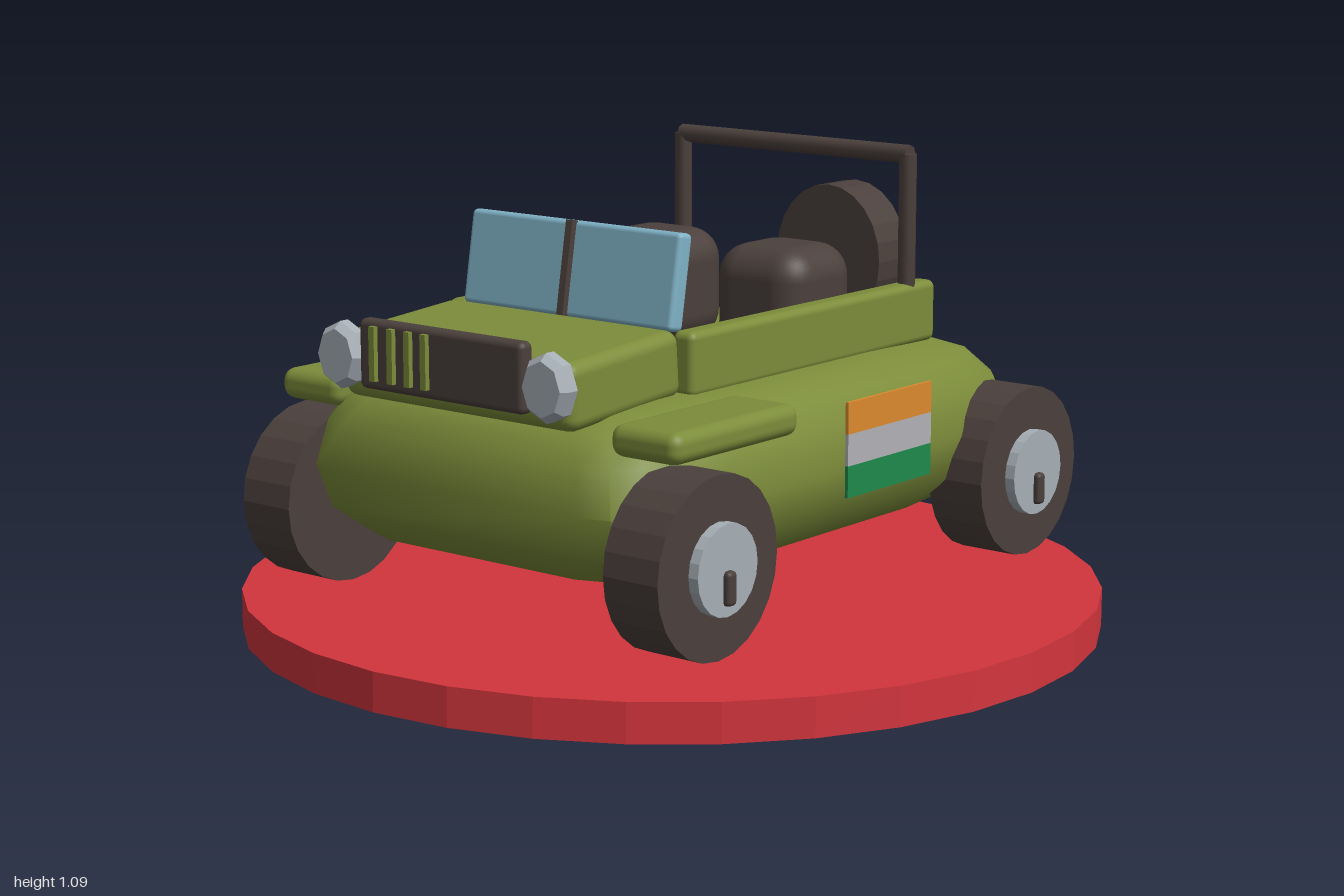
import * as THREE from 'three';
import { RoundedBoxGeometry } from 'three/addons/geometries/RoundedBoxGeometry.js';
import { toCreasedNormals } from 'three/addons/utils/BufferGeometryUtils.js';

const mat = (name, color) => Object.assign(new THREE.MeshStandardMaterial({ color }), { name });

// Closed body shell built from horizontal cross-sections: [y, halfWidth, zFront, zBack]
function bodyGeometry(rings) {
  const pos = [], idx = [];
  const corner = [[0, 0.34], [0.02, 0.2], [0.055, 0.08], [0.1, 0.025], [0.17, 0]];
  const n = corner.length * 4;
  for (const [y, hx, zf, zb] of rings) {
    const rear = corner.map(([dx, dz]) => [hx - dx, zb + dz]);
    const front = corner.map(([dx, dz]) => [hx - dx, zf - dz]);
    const flip = (list) => list.map(([x, z]) => [-x, z]);
    const loop = [...rear, ...flip(rear).reverse(), ...flip(front), ...front.slice().reverse()];
    for (const [x, z] of loop) pos.push(x, y, z);
  }
  for (let r = 0; r < rings.length - 1; r++) {
    for (let i = 0; i < n; i++) {
      const a = r * n + i, b = r * n + (i + 1) % n;
      idx.push(a, b, b + n, a, b + n, a + n);
    }
  }
  // bottom and top caps
  const top = (rings.length - 1) * n, c = rings.length * n;
  pos.push(0, rings[0][0], 0, 0, rings[rings.length - 1][0], 0);
  for (let i = 0; i < n; i++) {
    const j = (i + 1) % n;
    idx.push(c, j, i, c + 1, top + i, top + j);
  }
  const g = new THREE.BufferGeometry();
  g.setAttribute('position', new THREE.Float32BufferAttribute(pos, 3));
  g.setIndex(idx);
  return toCreasedNormals(g, 0.75);
}

export function createModel() {
  const model = new THREE.Group();
  const green = mat('olive paint', 0x7c8c3a);
  const dark = mat('dark rubber', 0x4b403c);
  const silver = mat('silver metal', 0xa6afb6);
  const blue = mat('blue glass', 0x7fb2c6);
  const red = mat('red base', 0xd3353d);
  const orange = mat('flag orange', 0xdb8a2e);
  const white = mat('flag white', 0xb2b2b6);
  const flagGreen = mat('flag green', 0x1f8a4c);
  const darkFlat = mat('dark tyre', 0x4b403c);
  for (const m of [red, silver, darkFlat]) m.flatShading = true;

  const add = (name, geo, material, x, y, z, parent = model) => {
    const m = new THREE.Mesh(geo, material);
    m.name = name;
    m.position.set(x, y, z);
    parent.add(m);
    return m;
  };
  const box = (w, h, d) => new THREE.BoxGeometry(w, h, d);
  const round = (w, h, d, r, s = 3) => new RoundedBoxGeometry(w, h, d, s, r);

  // Display base
  add('base', new THREE.CylinderGeometry(1, 1, 0.09, 32), red, 0, 0.045, 0);

  // Main body
  add('body', bodyGeometry([
    [0.24, 0.37, 0.57, -0.57], [0.265, 0.44, 0.66, -0.66], [0.33, 0.505, 0.73, -0.74],
    [0.43, 0.53, 0.755, -0.77], [0.53, 0.51, 0.735, -0.735], [0.59, 0.47, 0.70, -0.68],
    [0.62, 0.42, 0.64, -0.6], [0.63, 0.37, 0.58, -0.53],
  ]), green, 0, 0, 0);

  // Hood, sloping slightly to the front
  const hood = add('hood', round(0.67, 0.15, 0.37, 0.03), green, 0, 0.685, 0.558);
  hood.rotation.x = 0.07;

  // Grille with four slats
  add('grille', round(0.475, 0.155, 0.04, 0.015, 2), dark, 0, 0.712, 0.765);
  for (const x of [-0.175, -0.122, -0.072, -0.024]) {
    add('grilleSlat', box(0.016, 0.12, 0.012), green, x, 0.72, 0.802);
  }

  // Windshield leaning back, with centre post
  const windshield = new THREE.Group();
  windshield.name = 'windshield';
  windshield.position.set(0, 0.865, 0.34);
  windshield.rotation.x = -0.17;
  model.add(windshield);
  add('glass', round(0.61, 0.215, 0.045, 0.012, 2), blue, 0, 0, 0, windshield);
  add('centrePost', box(0.018, 0.215, 0.02), dark, 0, 0, 0.028, windshield);

  // Wheel with hub and lug along +y of its own axis
  const makeWheel = (name, r, width, hubR, hubOut) => {
    const g = new THREE.Group();
    g.name = name;
    add('tyre', new THREE.CylinderGeometry(r, r, width, 24), darkFlat, 0, 0, 0, g);
    add('hub', new THREE.CylinderGeometry(hubR, hubR, hubOut + 0.02, 20), silver, 0, width / 2 + hubOut / 2 - 0.01, 0, g);
    model.add(g);
    return g;
  };

  for (const s of [1, -1]) {
    // Cabin side wall
    add('sideWall', round(0.06, 0.145, 0.92, 0.018), green, s * 0.33, 0.693, -0.088);
    // Front fender
    add('fender', round(0.185, 0.07, 0.425, 0.028), green, s * 0.485, 0.59, 0.483);
    // Seat
    add('seat', round(0.255, 0.27, 0.25, 0.075, 4), dark, s * 0.188, 0.747, -0.175);
    // Roll bar post
    add('rollBarPost', new THREE.CylinderGeometry(0.021, 0.021, 0.44, 8), dark, s * 0.336, 0.85, -0.458);

    // Headlight: bevelled drum
    const drum = [[0, -0.03], [0.045, -0.03], [0.075, -0.012], [0.075, 0.012], [0.06, 0.03], [0, 0.03]];
    const lamp = add('headlight', new THREE.LatheGeometry(drum.map(([x, y]) => new THREE.Vector2(x, y)), 8),
      silver, s * 0.298, 0.70, 0.765);
    lamp.rotation.x = Math.PI / 2;
    lamp.scale.x = 0.87;

    // Road wheels
    for (const [name, z] of [['frontWheel', 0.59], ['rearWheel', -0.585]]) {
      const w = makeWheel(name, 0.2, 0.145, 0.1, 0.025);
      w.position.set(s * 0.532, 0.33, z);
      w.rotation.z = -s * Math.PI / 2;
      add('wheelLug', round(0.03, 0.075, 0.03, 0.01, 2), dark, s * 0.63, 0.292, z);
    }
  }

  // Roll bar top
  const bar = add('rollBarTop', new THREE.CylinderGeometry(0.022, 0.022, 0.68, 8), dark, 0, 1.069, -0.46);
  bar.rotation.z = Math.PI / 2;

  // Spare wheel on the back
  const spare = makeWheel('spareWheel', 0.178, 0.115, 0.085, 0.02);
  spare.position.set(0, 0.777, -0.66);
  spare.rotation.x = -Math.PI / 2;
  spare.scale.x = 0.87;

  // Three-band flag plate on the left flank
  [[orange, 0.55], [white, 0.478], [flagGreen, 0.406]].forEach(([m, y]) => {
    add('flagBand', box(0.008, 0.072, 0.32), m, 0.537, y, -0.11);
  });

  return model;
}
